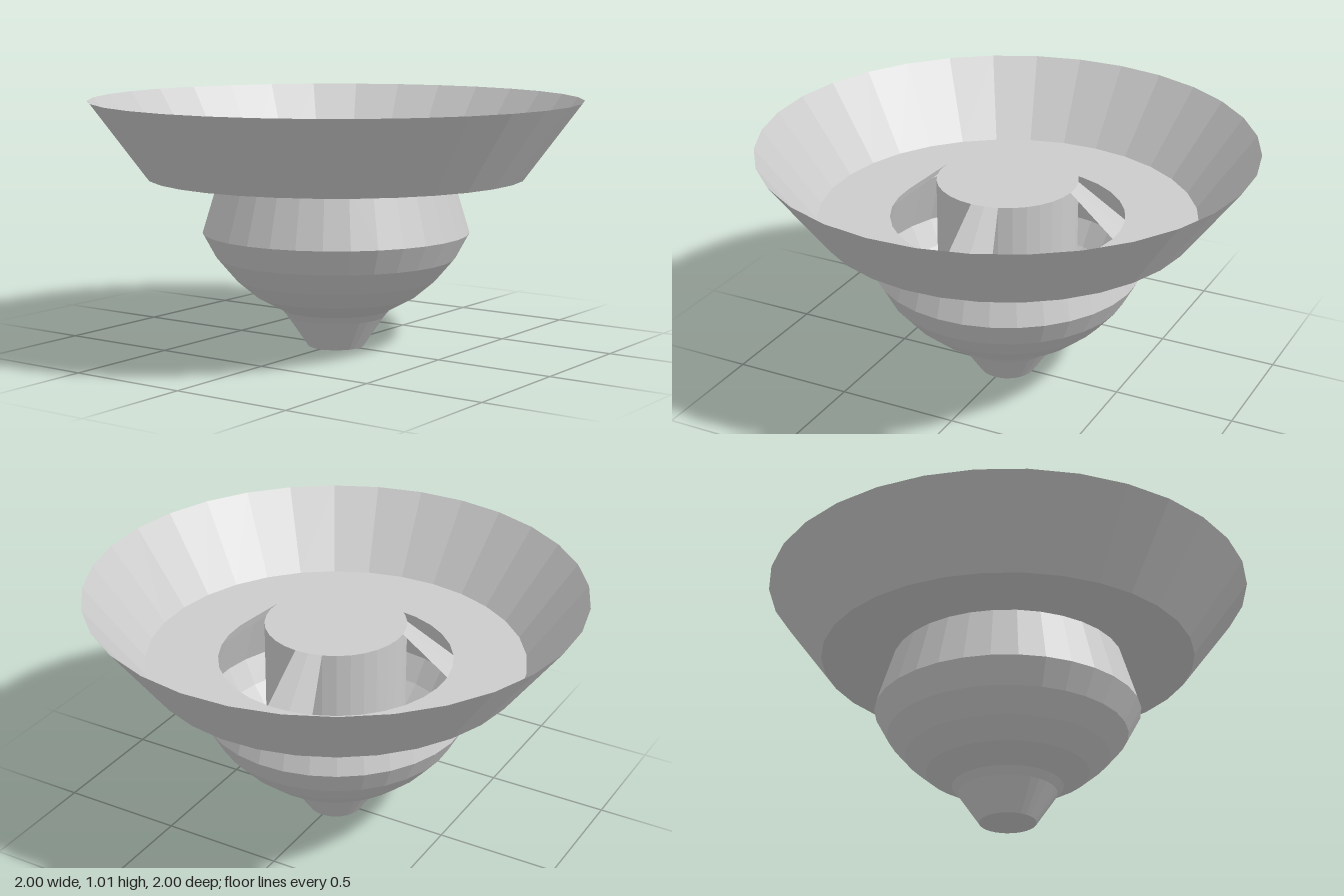
import * as THREE from 'three';

const SIDES = 32;
const STEP = (Math.PI * 2) / SIDES;
const TWIST = THREE.MathUtils.degToRad(3.4); // small turn shared by all facets

const material = new THREE.MeshStandardMaterial({
  color: 0xcccccc, flatShading: true, side: THREE.DoubleSide,
});

// Revolves a profile of [radius, height] pairs, fully or over some facets
function revolve(name, profile, segments = SIDES, start = -TWIST) {
  const points = profile.map(([r, y]) => new THREE.Vector2(r, y));
  const mesh = new THREE.Mesh(
    new THREE.LatheGeometry(points, segments, start, segments * STEP), material);
  mesh.name = name;
  return mesh;
}

export function createModel() {
  const model = new THREE.Group();
  model.name = 'bowlWithHub';

  // Closed conical foot
  model.add(revolve('foot', [[0, 0], [0.115, 0], [0.2, 0.125], [0.225, 0.155]]));

  // Rounded cup narrowing to the neck under the floor
  model.add(revolve('cup', [
    [0.225, 0.155], [0.33, 0.213], [0.415, 0.285], [0.49, 0.373], [0.545, 0.475], [0.475, 0.705],
  ]));

  // Flat ring floor around the opening
  model.add(revolve('floor', [[0.77, 0.705], [0.475, 0.705]]));

  // Thin flared rim
  model.add(revolve('rim', [[0.77, 0.705], [1, 1.015]]));

  // Central hub rising from the cup
  model.add(revolve('hub', [[0.285, 0.19], [0.285, 0.86], [0, 0.86]]));

  // Four sloping bridges, each two facets wide, from hub top to floor
  const bridges = new THREE.Group();
  bridges.name = 'bridges';
  for (const cell of [-2, 6, 14, 21]) {
    const start = Math.PI - TWIST - STEP * (cell + 2);
    bridges.add(revolve('bridge', [[0.475, 0.705], [0.285, 0.86]], 2, start));
  }
  model.add(bridges);

  return model;
}
